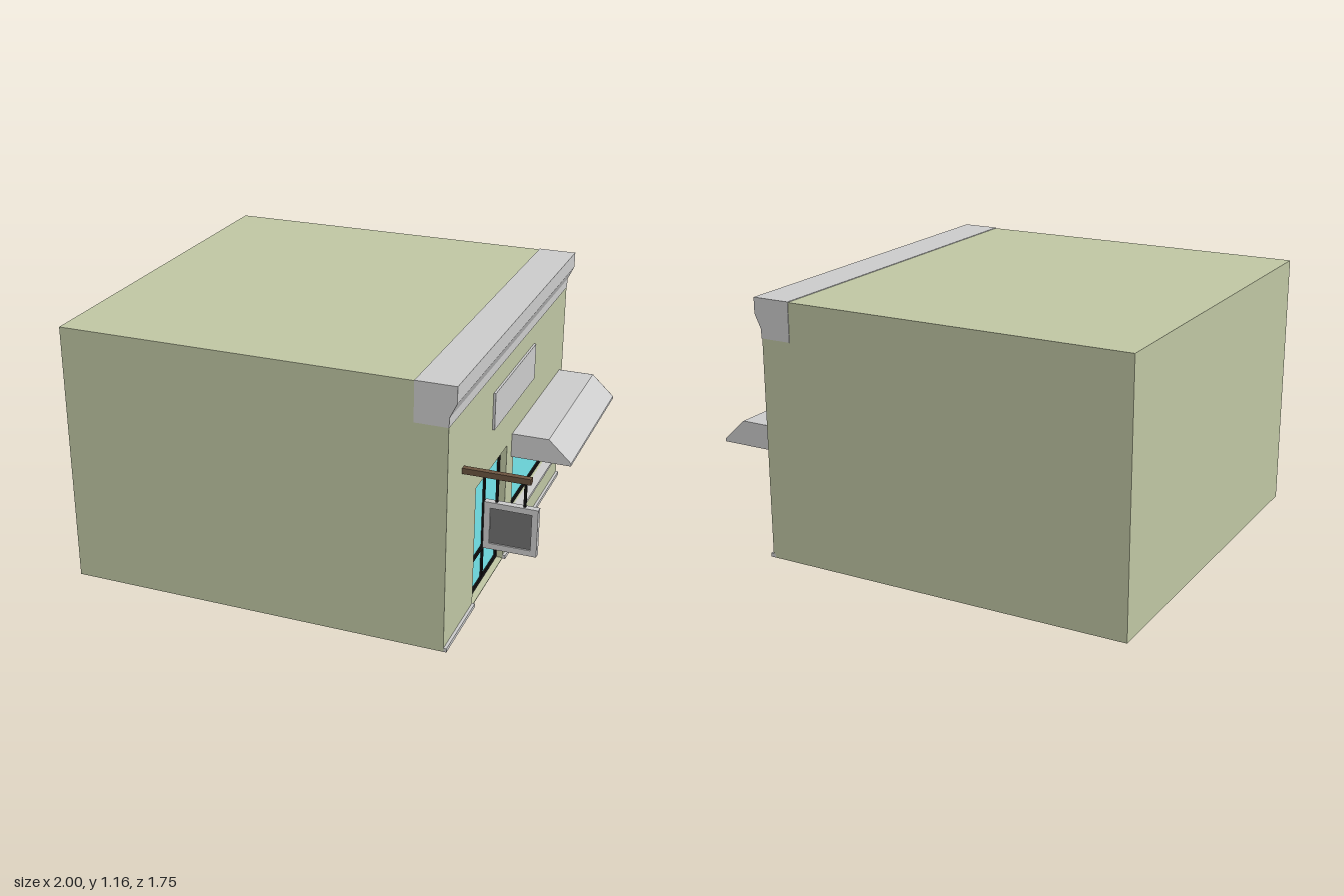
import * as THREE from 'three';

const mat = (color) => new THREE.MeshStandardMaterial({ color });
const grey = mat(0xcccccc);
const plaster = mat(0xbfc6a3);
const black = mat(0x111111);
const glass = mat(0x75e6eb);
const wood = mat(0x6b5440);
const darkGrey = mat(0x707070);
const thinGrey = new THREE.MeshStandardMaterial({ color: 0xcccccc, side: THREE.DoubleSide });

const WALL = 0.685;  // x of the shop front
const INNER = 0.645; // x of the recessed plane
const HALF = 0.87;   // half width along z
const TOP = 1.16;

// Box given by its limits on each axis
function box(parent, name, material, [x0, x1], [y0, y1], [z0, z1]) {
  const mesh = new THREE.Mesh(new THREE.BoxGeometry(x1 - x0, y1 - y0, z1 - z0), material);
  mesh.position.set((x0 + x1) / 2, (y0 + y1) / 2, (z0 + z1) / 2);
  mesh.name = name;
  parent.add(mesh);
  return mesh;
}

// Profile in x, y extruded along z
function extrudeZ(parent, name, material, points, z0, z1) {
  const shape = new THREE.Shape(points.map(([x, y]) => new THREE.Vector2(x, y)));
  const mesh = new THREE.Mesh(
    new THREE.ExtrudeGeometry(shape, { depth: z1 - z0, bevelEnabled: false }), material);
  mesh.position.z = z0;
  mesh.name = name;
  parent.add(mesh);
}

// Rectangle outline in the plane of the shop front (shape x = -z)
const rect = ([y0, y1], [z0, z1]) =>
  [[-z1, y0], [-z0, y0], [-z0, y1], [-z1, y1]].map(([a, b]) => new THREE.Vector2(a, b));

// Glazed opening with frame and optional bars
function glazing(name, [y0, y1], [z0, z1], t, mullions = [], rails = []) {
  const group = new THREE.Group();
  group.name = name;
  const fx = [INNER, INNER + 0.012];
  box(group, 'glassPane', glass, [INNER, INNER + 0.004], [y0, y1], [z0, z1]);
  for (const z of [z0 + t / 2, z1 - t / 2, ...mullions])
    box(group, 'frameUpright', black, fx, [y0, y1], [z - t / 2, z + t / 2]);
  for (const y of [y0 + t / 2, y1 - t / 2, ...rails])
    box(group, 'frameRail', black, fx, [y - t / 2, y + t / 2], [z0, z1]);
  return group;
}

export function createModel() {
  const model = new THREE.Group();
  model.name = 'shop';

  const doorY = [0.004, 0.56], doorZ = [0.053, 0.495];
  const windowY = [0.16, 0.55], windowZ = [-0.79, -0.055];

  // Building volume and the front wall with its two openings
  box(model, 'building', plaster, [-1, INNER], [0, TOP], [-HALF, HALF]);
  const wallShape = new THREE.Shape(rect([0, TOP], [-HALF, HALF]));
  wallShape.holes.push(new THREE.Path(rect(doorY, doorZ)), new THREE.Path(rect(windowY, windowZ)));
  const wall = new THREE.Mesh(
    new THREE.ExtrudeGeometry(wallShape, { depth: WALL - INNER, bevelEnabled: false }), plaster);
  wall.rotation.y = Math.PI / 2;
  wall.position.x = INNER;
  wall.name = 'frontWall';
  model.add(wall);

  // Cornice
  extrudeZ(model, 'cornice', grey, [
    [0.545, 0.99], [0.687, 0.99], [0.687, 1.03], [0.717, 1.093], [0.717, 1.163], [0.545, 1.163],
  ], -HALF - 0.003, HALF + 0.003);

  // Door and window
  model.add(glazing('door', doorY, doorZ, 0.018, [0.268], [0.168]));
  model.add(glazing('window', windowY, windowZ, 0.018));
  box(model, 'windowSill', grey, [INNER, 0.71], [0.147, 0.16], [-0.81, -0.03]);

  // Plinth on both sides of the door
  for (const z of [[-HALF, doorZ[0]], [doorZ[1], HALF]])
    box(model, 'plinth', grey, [WALL - 0.01, 0.698], [0, 0.017], z);

  // Blank fascia board
  box(model, 'fasciaBoard', grey, [WALL - 0.005, 0.695], [0.735, 0.9], [-0.32, 0.29]);

  // Awning: an open-bottomed shell of canopy and two end panels
  const awning = new THREE.Group();
  awning.name = 'awning';
  const z0 = -0.82, z1 = -0.02, t = 0.006;
  extrudeZ(awning, 'canopy', grey, [
    [WALL, 0.585], [WALL, 0.585 - t], [0.848, 0.585 - t], [0.949, 0.485],
    [0.949, 0.475], [0.955, 0.475], [0.955, 0.488], [0.851, 0.585],
  ], z0, z1);
  const endShape = new THREE.Shape([
    [WALL, 0.475], [0.955, 0.475], [0.955, 0.488], [0.851, 0.585], [WALL, 0.585],
  ].map(([x, y]) => new THREE.Vector2(x, y)));
  for (const z of [z0 - 0.001, z1 + 0.001]) {
    const end = new THREE.Mesh(new THREE.ShapeGeometry(endShape), thinGrey);
    end.position.z = z;
    end.name = 'awningEnd';
    awning.add(end);
  }
  model.add(awning);

  // Hanging sign: beam, two rods, framed board
  const sign = new THREE.Group();
  sign.name = 'hangingSign';
  box(sign, 'beam', wood, [WALL, 0.965], [0.715, 0.74], [0.665, 0.69]);
  for (const x of [0.828, 0.942])
    box(sign, 'rod', black, [x - 0.005, x + 0.005], [0.605, 0.718], [0.672, 0.682]);
  const bz = [0.663, 0.691];
  box(sign, 'boardPanel', darkGrey, [0.8, 0.98], [0.425, 0.595], [0.67, 0.684]);
  for (const x of [[0.78, 0.805], [0.975, 1]])
    box(sign, 'boardFrameSide', grey, x, [0.405, 0.612], bz);
  for (const y of [[0.405, 0.43], [0.587, 0.612]])
    box(sign, 'boardFrameRail', grey, [0.805, 0.975], y, bz);
  model.add(sign);

  return model;
}
